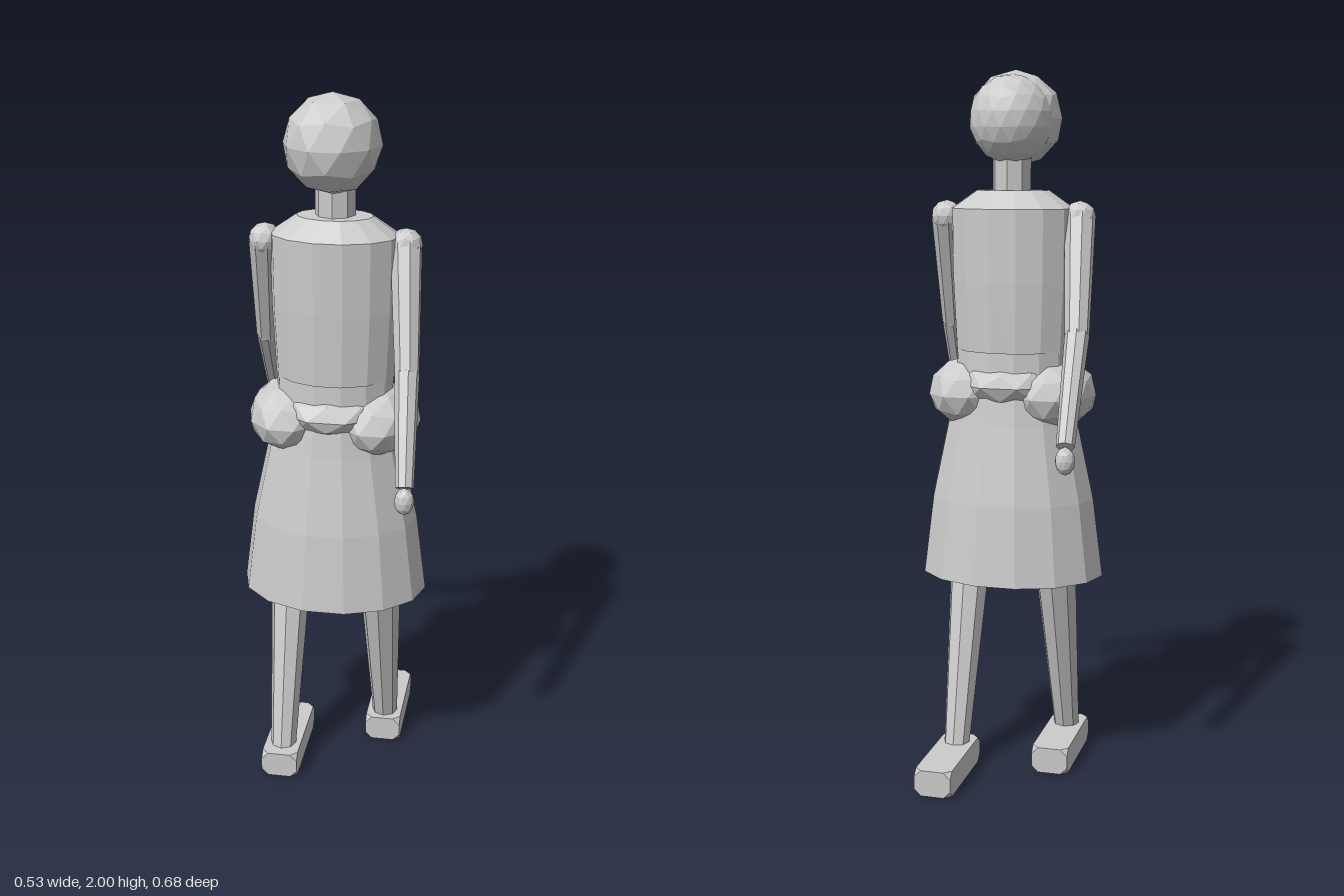
import * as THREE from 'three';
import { ConvexGeometry } from 'three/addons/geometries/ConvexGeometry.js';

const mat = new THREE.MeshStandardMaterial({ color: 0xcccccc, flatShading: true });
const clothMat = new THREE.MeshStandardMaterial({ color: 0xcccccc, flatShading: true, side: THREE.DoubleSide });
const V = (x, y, z) => new THREE.Vector3(x, y, z);

export function createModel() {
  const model = new THREE.Group();
  model.name = 'walkingFigure';
  const add = (name, geometry, material = mat) => {
    const mesh = new THREE.Mesh(geometry, material);
    mesh.name = name;
    model.add(mesh);
    return mesh;
  };

  // Faceted ball with a vertex at its top, stretched to three radii
  const ball = (name, p, rx, ry = rx, rz = rx, detail = 1) => {
    const g = new THREE.IcosahedronGeometry(1, detail);
    g.rotateZ(Math.atan(2 / (1 + Math.sqrt(5)))).rotateY(-Math.PI / 2);
    return add(name, g.scale(rx, ry, rz).translate(p.x, p.y, p.z));
  };

  // Tapered eight-sided limb from a to b
  const limb = (name, a, b, ra, rb) => {
    const dir = b.clone().sub(a);
    const mesh = add(name, new THREE.CylinderGeometry(rb, ra, dir.length(), 8));
    mesh.position.copy(a).addScaledVector(dir, 0.5);
    mesh.quaternion.setFromUnitVectors(V(0, 1, 0), dir.normalize());
  };

  // Oval lathe with corners on the left and right
  const oval = (name, profile, depth, material) => {
    const g = new THREE.LatheGeometry(profile.map(([r, y]) => new THREE.Vector2(r, y)), 14);
    g.rotateY(Math.PI / 2).scale(1, 1, depth).translate(0, 0, 0.028);
    add(name, g, material);
  };

  // Head, rounded hair at the back, neck
  ball('head', V(0, 1.867, 0.063), 0.133);
  ball('hair', V(0, 1.863, 0.012), 0.117, 0.123, 0.117, 2);
  limb('neck', V(0, 1.64, 0.02), V(0, 1.8, 0.02), 0.055, 0.055);

  // Bodice and flared skirt
  oval('bodice', [[0, 1.1], [0.155, 1.1], [0.166, 1.22], [0.176, 1.42], [0.178, 1.62], [0.105, 1.67], [0, 1.67]], 0.69, mat);
  oval('skirt', [[0.267, 0.575], [0.238, 0.8], [0.19, 1.02], [0.165, 1.16], [0.162, 1.225]], 0.78, clothMat);

  // Padded hip roll: one pad on each hip joined over the middle
  ball('hipRollMiddle', V(0, 1.13, 0.028), 0.17, 0.075, 0.163);
  for (const s of [1, -1]) ball('hipRollPad', V(s * 0.125, 1.1, 0.03), 0.118, 0.1, 0.16);

  for (const s of [1, -1]) {
    const side = s > 0 ? 'left' : 'right';

    // Arms: the left swings forward, the right swings back
    const shoulder = V(s * 0.193, 1.597, 0.028);
    const elbow = V(s * 0.218, 1.285, s > 0 ? 0.165 : -0.11);
    const wrist = V(s * 0.235, 1.015, s * 0.315);
    ball(side + 'Shoulder', shoulder, 0.045);
    limb(side + 'UpperArm', shoulder, elbow, 0.044, 0.034);
    ball(side + 'Elbow', elbow, 0.033);
    limb(side + 'Forearm', elbow, wrist, 0.034, 0.025);
    ball(side + 'Hand', V(s * 0.235, 0.977, s * 0.317), 0.027, 0.038, 0.024);

    // Legs: the left trails, the right steps forward
    const knee = V(s * 0.138, 0.61, s > 0 ? 0.066 : -0.015);
    const ankle = V(s * 0.138, 0.05, s > 0 ? -0.095 : 0.15);
    ball(side + 'Knee', knee, 0.058);
    limb(side + 'Leg', knee, ankle, 0.06, 0.037);

    // Block foot with its eight corners cut off
    const half = [0.053, 0.0375, 0.147], cut = 0.02, points = [];
    for (const x of [-1, 1]) for (const y of [-1, 1]) for (const z of [-1, 1]) {
      for (let axis = 0; axis < 3; axis++) {
        const p = [x * half[0], y * half[1], z * half[2]];
        p[axis] -= Math.sign(p[axis]) * cut;
        points.push(V(...p));
      }
    }
    add(side + 'Foot', new ConvexGeometry(points)).position.set(s * 0.138, 0.0375, s > 0 ? -0.178 : 0.068);
  }
  return model;
}
